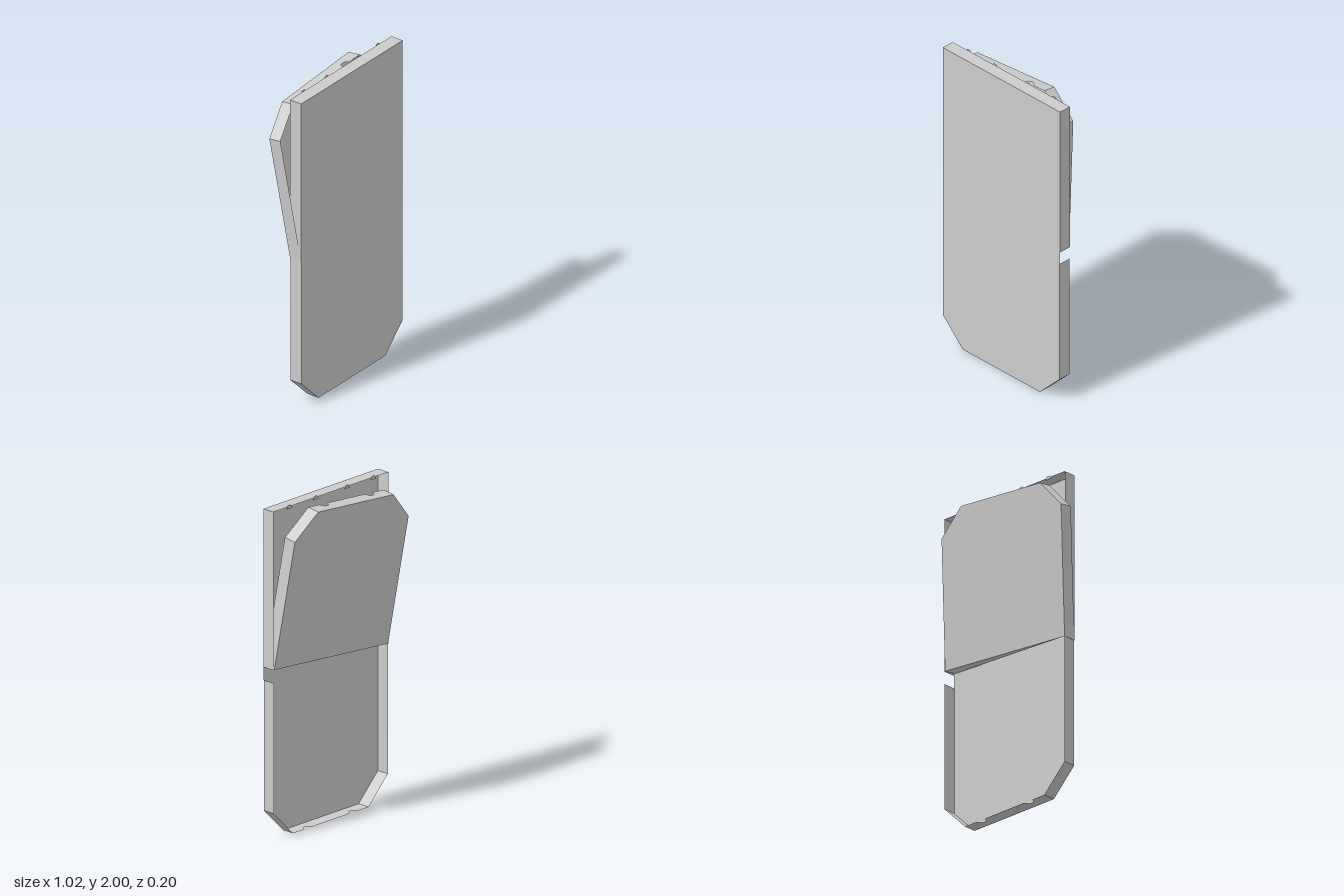
import * as THREE from 'three';

const W = 0.945, H = 0.95, C = 0.16, D = 0.08; // half width, height, corner cut, wall depth
const material = new THREE.MeshStandardMaterial({ color: 0xcccccc, side: THREE.DoubleSide, flatShading: true });

function add(group, geometry, name) {
  const mesh = new THREE.Mesh(geometry, material);
  mesh.name = name;
  group.add(mesh);
  return mesh;
}

function polygon(points) {
  return new THREE.ShapeGeometry(new THREE.Shape(points.map(([x, y]) => new THREE.Vector2(x, y))));
}

// Upright wall along the line p-q; notches are distances along its free edge
function wall(p, q, depth, notches = []) {
  const dir = new THREE.Vector3(q[0] - p[0], q[1] - p[1], 0);
  const length = dir.length();
  dir.normalize();
  const outline = [[length, 0], [0, 0], [0, depth]];
  for (const n of notches) {
    outline.push([n - 0.032, depth], [n - 0.018, depth * 0.68], [n - 0.01, depth * 0.63],
      [n + 0.01, depth * 0.63], [n + 0.018, depth * 0.68], [n + 0.032, depth]);
  }
  outline.push([length, depth]);
  const up = new THREE.Vector3(0, 0, 1);
  const basis = new THREE.Matrix4().makeBasis(dir, up, dir.clone().cross(up));
  basis.setPosition(p[0], p[1], 0);
  return polygon(outline).applyMatrix4(basis);
}

// Shallow tray, open along its straight hinge edge, with cut far corners
function tray(name) {
  const group = new THREE.Group();
  group.name = name;
  const rim = [[0, 0], [0, H - C], [C, H], [W - C, H], [W, H - C], [W, 0]];
  add(group, polygon(rim), name + 'Panel');
  for (let i = 0; i < rim.length - 1; i++) {
    add(group, wall(rim[i], rim[i + 1], D, i === 2 ? [0.125, 0.5] : []), name + 'Wall');
  }
  return group;
}

export function createModel() {
  const model = new THREE.Group();
  model.name = 'foldingTray';

  // Lower tray, opening to the back
  const lower = tray('lowerTray');
  lower.position.set(-0.44, 0.95, 0.1);
  lower.rotation.x = Math.PI;
  model.add(lower);

  // Square upper tray, with a gap in its left wall at the hinge
  const upper = new THREE.Group();
  upper.name = 'upperTray';
  upper.position.z = 0.1;
  const l = 0.508, r = -0.442, top = 1.99;
  add(upper, polygon([[r, 0.95], [l, 0.95], [l, top], [r, top]]), 'upperPanel');
  add(upper, wall([r, 0.95], [r, top], -D), 'upperRightWall');
  add(upper, wall([r, top], [l, top], -D), 'upperTopWall');
  add(upper, wall([l, top], [l, 1.03], -D), 'upperLeftWall');
  // Small rounded tabs along the top rear edge
  for (const x of [-0.315, -0.1, 0.16, 0.38]) {
    const tab = add(upper, new THREE.CircleGeometry(0.022, 10, 0, Math.PI), 'topTab');
    tab.position.set(x, 1.978, -D - 0.002);
  }
  model.add(upper);

  // Flap tray, folded up behind and slightly askew
  const flap = tray('flapTray');
  flap.position.set(-0.44, 0.95, 0.02);
  flap.rotation.set(-0.126, 0, 0.085, 'ZYX');
  // Tapered hinge web closing the flap's lower edge
  const web = polygon([[0, 0], [W, 0], [W, D]]).rotateX(Math.PI / 2);
  add(flap, web, 'hingeWeb');
  model.add(flap);

  return model;
}
